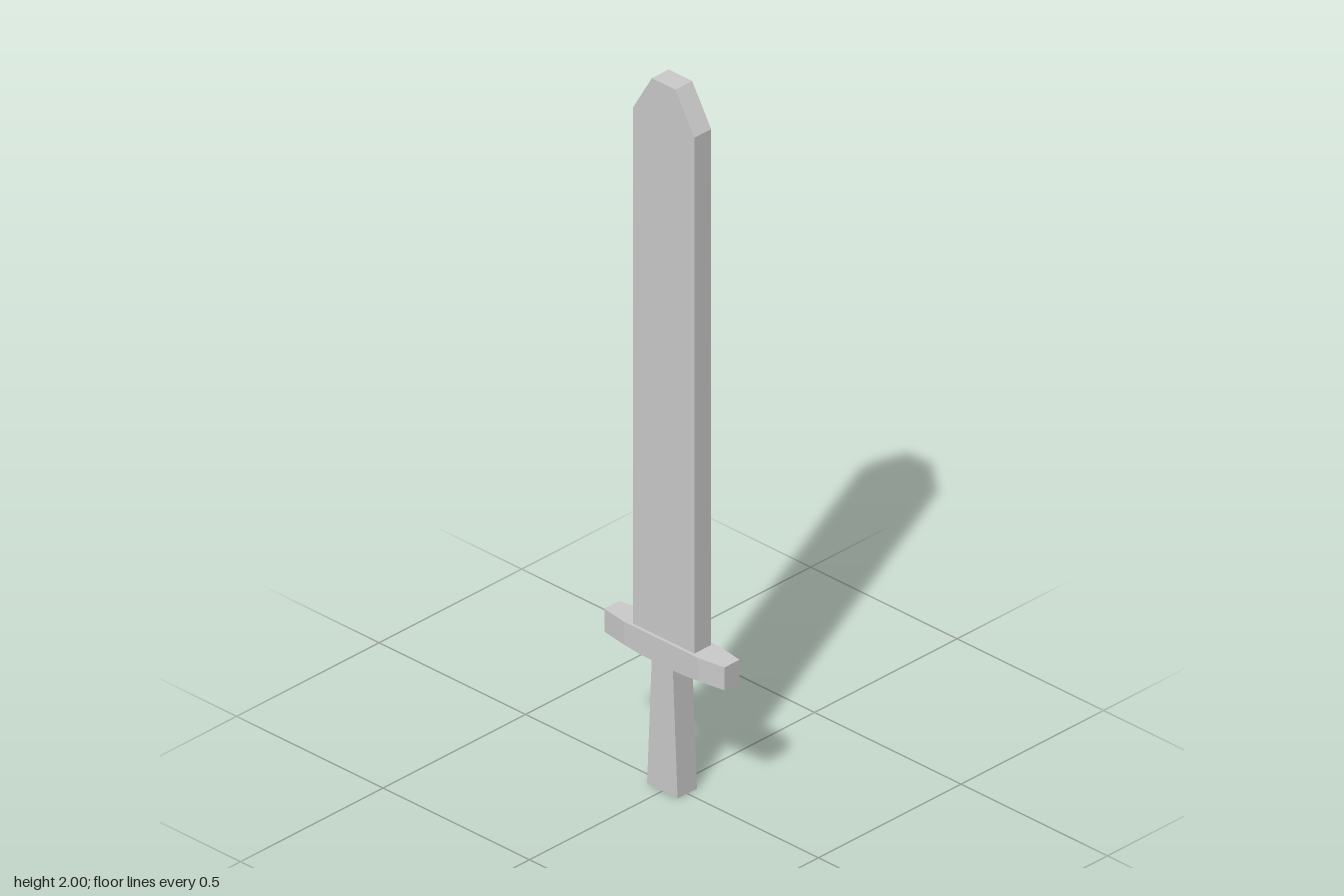
import * as THREE from 'three';

const material = new THREE.MeshStandardMaterial({ color: 0xcccccc, flatShading: true });

// Flat plate cut from a right-hand half outline, mirrored across x = 0
function plate(name, half, depth) {
  const mirrored = half.map(([x, y]) => [-x, y]).reverse();
  const shape = new THREE.Shape([...half, ...mirrored].map(([x, y]) => new THREE.Vector2(x, y)));
  const geometry = new THREE.ExtrudeGeometry(shape, { depth, bevelEnabled: false });
  geometry.translate(0, 0, -depth / 2);
  const mesh = new THREE.Mesh(geometry, material);
  mesh.name = name;
  return mesh;
}

// Crossguard: a bar that narrows toward its ends and dips slightly in the middle
function crossguard() {
  const stations = [-0.205, -0.127, -0.07, 0.07, 0.127, 0.205];
  const geometry = new THREE.BoxGeometry(5, 1, 1, 5, 1, 1);
  const p = geometry.attributes.position;
  for (let i = 0; i < p.count; i++) {
    const x = stations[Math.round(p.getX(i) + 2.5)];
    const halfDepth = Math.abs(x) > 0.2 ? 0.0265 : 0.0385;
    const bottom = Math.abs(x) < 0.1 ? 0.36 : 0.365;
    p.setXYZ(i, x, p.getY(i) > 0 ? 0.43 : bottom, Math.sign(p.getZ(i)) * halfDepth);
  }
  geometry.computeVertexNormals();
  const mesh = new THREE.Mesh(geometry, material);
  mesh.name = 'crossguard';
  return mesh;
}

export function createModel() {
  const sword = new THREE.Group();
  sword.name = 'sword';
  sword.add(
    // Blade with a clipped tip
    plate('blade', [[0.105, 0.43], [0.105, 1.89], [0.04, 2]], 0.059),
    crossguard(),
    // Grip flaring toward the base
    plate('grip', [[0.052, 0], [0.036, 0.362]], 0.068)
  );
  return sword;
}
